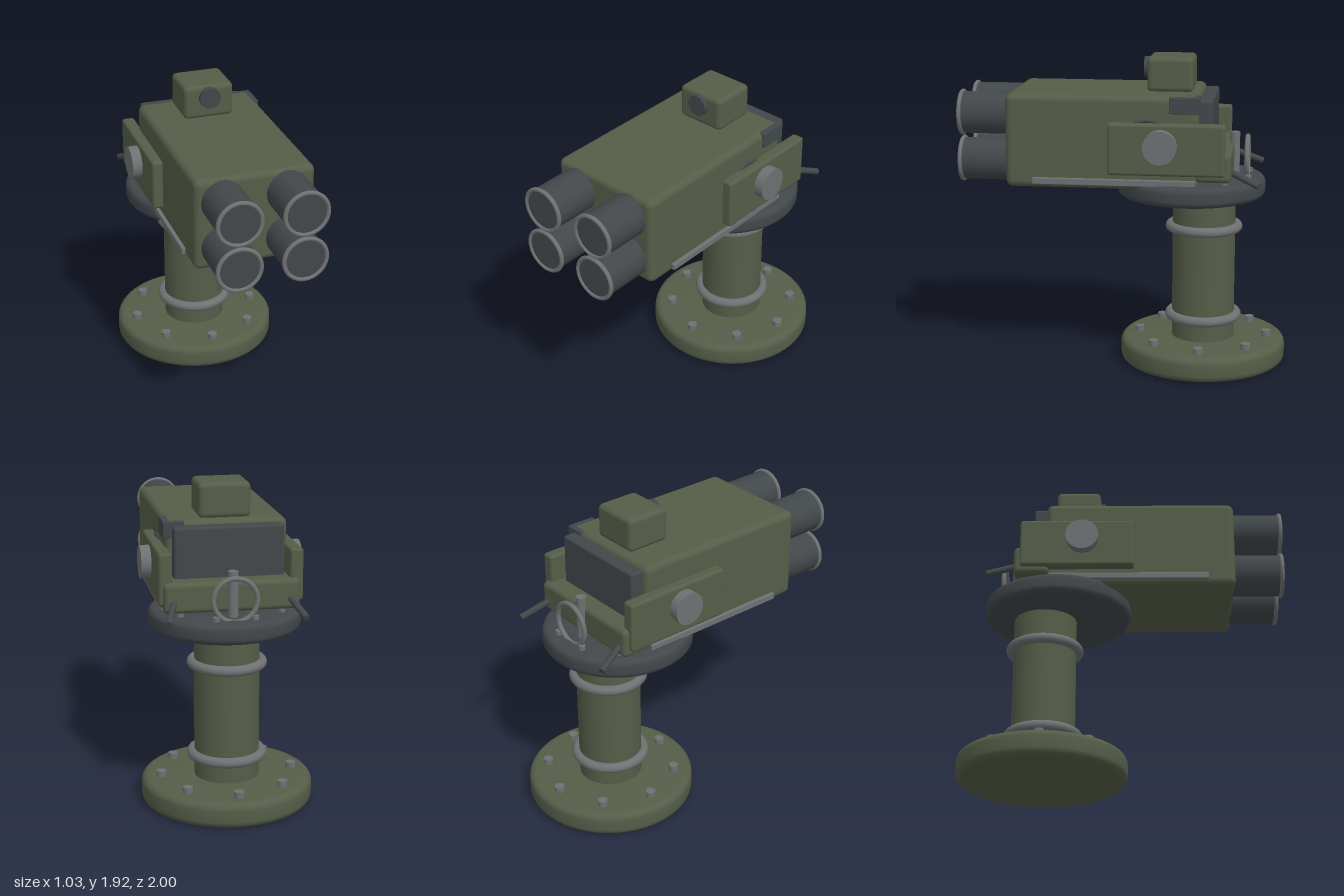
import * as THREE from 'three';
import { RoundedBoxGeometry } from 'three/addons/geometries/RoundedBoxGeometry.js';
import { toCreasedNormals } from 'three/addons/utils/BufferGeometryUtils.js';

export function createModel() {
  const model = new THREE.Group();
  const mat = (name, color) => {
    const m = new THREE.MeshStandardMaterial({ color });
    m.name = name;
    return m;
  };
  const green = mat('olive green', 0x555d48);
  const dark = mat('dark gunmetal', 0x42474a);
  const grey = mat('steel grey', 0x6e7072);

  const add = (name, geometry, material, x = 0, y = 0, z = 0) => {
    const mesh = new THREE.Mesh(geometry, material);
    mesh.name = name;
    mesh.position.set(x, y, z);
    model.add(mesh);
    return mesh;
  };
  // Rounded box given by its minimum and maximum corners
  const box = (name, material, a, b, radius = 0.01) => add(name,
    new RoundedBoxGeometry(b[0] - a[0], b[1] - a[1], b[2] - a[2], 4, radius), material,
    (a[0] + b[0]) / 2, (a[1] + b[1]) / 2, (a[2] + b[2]) / 2);
  // Cylinder between two points
  const rod = (name, material, a, b, radius, sides = 32) => {
    const p = new THREE.Vector3(...a), q = new THREE.Vector3(...b);
    const d = q.clone().sub(p);
    const mesh = add(name, new THREE.CylinderGeometry(radius, radius, d.length(), sides), material,
      ...p.clone().add(q).multiplyScalar(0.5).toArray());
    mesh.quaternion.setFromUnitVectors(new THREE.Vector3(0, 1, 0), d.normalize());
    return mesh;
  };
  // Disc with rounded top and bottom rims
  const roundedDisc = (r, h, bevel) => {
    const pts = [new THREE.Vector2(0, 0)];
    for (const [cy, start] of [[bevel, -Math.PI / 2], [h - bevel, 0]]) {
      for (let i = 0; i <= 6; i++) {
        const t = start + i * Math.PI / 12;
        pts.push(new THREE.Vector2(r - bevel + bevel * Math.cos(t), cy + bevel * Math.sin(t)));
      }
    }
    pts.push(new THREE.Vector2(0, h));
    return toCreasedNormals(new THREE.LatheGeometry(pts, 64), 0.5);
  };
  // Ring of bolts standing on a disc
  const bolts = (name, count, ring, y, z, r, h, offset) => {
    for (let i = 0; i < count; i++) {
      const t = offset + i * 2 * Math.PI / count;
      add(name, new THREE.CylinderGeometry(r, r, h, 16), grey,
        ring * Math.sin(t), y + h / 2, z + ring * Math.cos(t));
    }
  };

  // Pedestal
  const pz = -0.48;
  add('base', roundedDisc(0.515, 0.155, 0.045), green, 0, 0, pz);
  bolts('baseBolt', 8, 0.4, 0.15, pz, 0.03, 0.04, 0);
  rod('column', green, [0, 0.14, pz], [0, 1.08, pz], 0.195, 64);
  for (const y of [0.29, 0.86]) {
    add('columnRing', new THREE.TorusGeometry(0.208, 0.031, 16, 64).rotateX(Math.PI / 2), grey, 0, y, pz);
  }

  // Turntable
  add('turntable', roundedDisc(0.455, 0.125, 0.04), dark, 0, 1.06, -0.4);
  bolts('turntableBolt', 10, 0.37, 1.18, -0.4, 0.02, 0.03, Math.PI / 10);

  // Launcher housing
  box('housing', green, [-0.362, 1.15, -0.465], [0.362, 1.715, 0.697], 0.04);
  box('rearPanel', dark, [-0.325, 1.25, -0.545], [0.322, 1.688, -0.44], 0.015);
  box('cornerUnit', dark, [0.25, 1.615, -0.47], [0.374, 1.712, -0.29], 0.006);

  // Launch tubes
  for (const x of [-0.195, 0.195]) {
    for (const y of [1.575, 1.29]) {
      rod('launchTube', dark, [x, y, 0.66], [x, y, 0.99], 0.128, 48);
      add('tubeRim', new THREE.TorusGeometry(0.128, 0.013, 12, 48), grey, x, y, 0.987);
    }
  }

  // Sight
  box('sightHousing', green, [-0.155, 1.71, -0.415], [0.155, 1.92, -0.135], 0.03);
  rod('sightLens', dark, [0, 1.845, -0.14], [0, 1.845, -0.107], 0.065);

  // Cradle
  box('cradleBeam', green, [-0.4, 1.21, -0.662], [0.4, 1.39, -0.45], 0.03);
  for (const s of [-1, 1]) {
    const x0 = Math.min(s * 0.345, s * 0.425), x1 = Math.max(s * 0.345, s * 0.425);
    box('cradleSide', green, [x0, 1.25, -0.625], [x1, 1.56, 0.072], 0.018);
    rod('pivotCap', grey, [s * 0.41, 1.43, -0.245], [s * 0.485, 1.43, -0.245], 0.1, 48);
    const rail = box('sideRail', grey, [-0.0125, 1.177, -0.45], [0.0125, 1.217, 0.53], 0.005);
    rail.position.x = s * 0.376;
    rod('handle', dark, [s * 0.34, 1.28, -0.64], [s * 0.397, 1.2, -0.825], 0.02, 20);
  }

  // Cable beside the housing
  const cable = new THREE.CatmullRomCurve3([[0.355, 1.5, 0], [0.362, 1.565, -0.12], [0.362, 1.565, -0.2], [0.355, 1.5, -0.3]]
    .map(p => new THREE.Vector3(...p)));
  add('cable', new THREE.TubeGeometry(cable, 24, 0.014, 10), dark);

  // Hand wheel and its post
  rod('wheelPost', grey, [0, 1.17, -0.665], [0, 1.455, -0.665], 0.03, 24);
  add('handWheel', new THREE.TorusGeometry(0.128, 0.015, 12, 48), grey, 0, 1.3, -0.742);

  return model;
}
